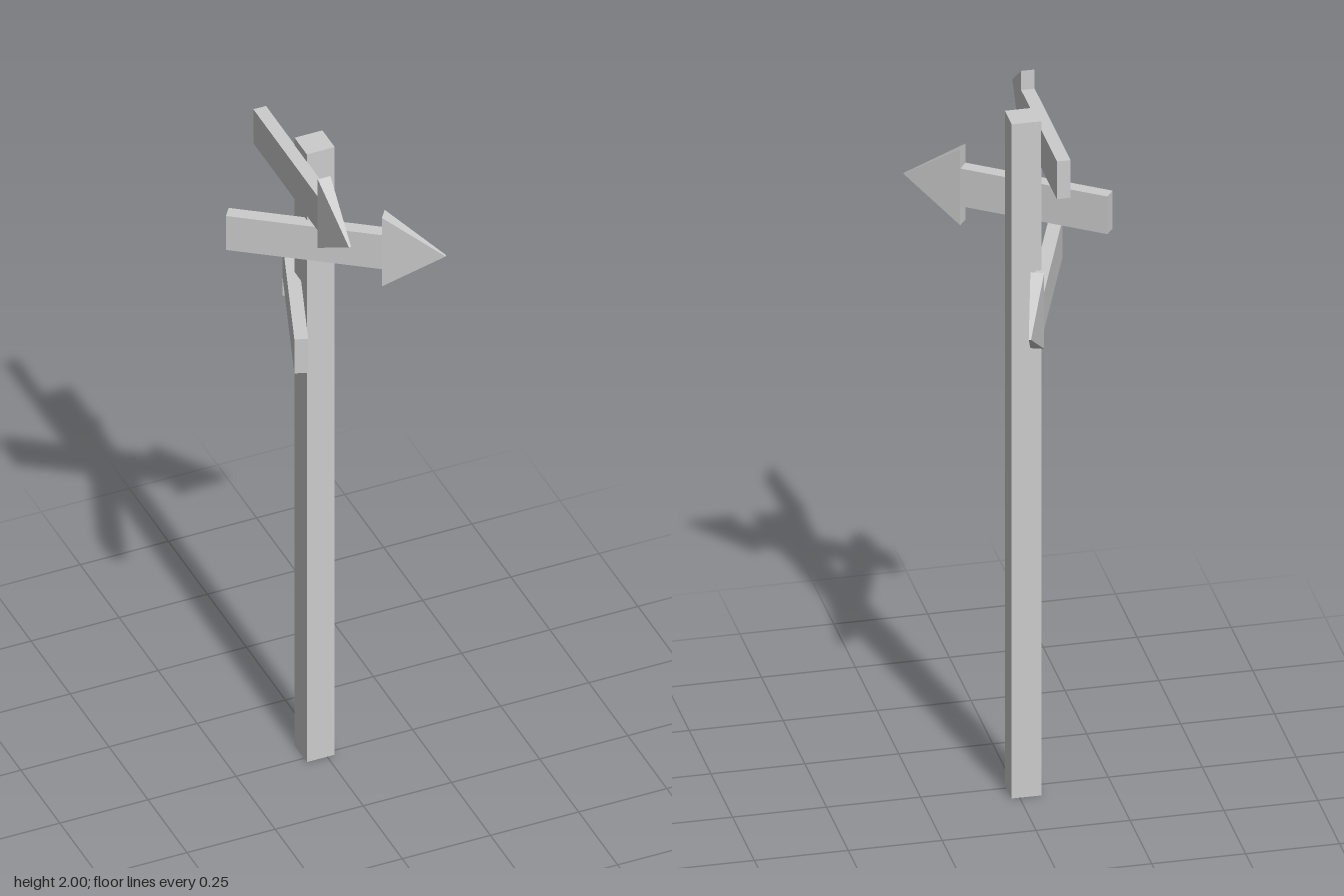
import * as THREE from 'three';

const material = new THREE.MeshStandardMaterial({ color: 0xcccccc, flatShading: true });

const THICK = 0.036, TIP_THICK = 0.006;
const SHAFT = 0.413, HEAD = 0.166;

// Triangular arrowhead along +x, thinning towards its tip
function headGeometry() {
  const shape = new THREE.Shape();
  shape.moveTo(0, -0.111);
  shape.lineTo(HEAD, 0);
  shape.lineTo(0, 0.111);
  shape.closePath();
  const geometry = new THREE.ExtrudeGeometry(shape, { depth: THICK, bevelEnabled: false });
  geometry.translate(0, 0, -THICK / 2);
  const p = geometry.attributes.position;
  for (let i = 0; i < p.count; i++) {
    const t = p.getX(i) / HEAD;
    p.setZ(i, p.getZ(i) * THREE.MathUtils.lerp(1, TIP_THICK / THICK, t));
  }
  geometry.computeVertexNormals();
  return geometry;
}

// Arrow-shaped board running from its tail centre towards its tip (both as [x, z])
function arrowSign(name, y, tail, tip) {
  const sign = new THREE.Group();
  sign.name = name;

  const board = new THREE.Mesh(new THREE.BoxGeometry(SHAFT, 0.11, THICK), material);
  board.name = 'board';
  board.position.x = SHAFT / 2;

  const head = new THREE.Mesh(headGeometry(), material);
  head.name = 'arrowhead';
  head.position.x = SHAFT;

  sign.add(board, head);
  sign.position.set(tail[0], y, tail[1]);
  sign.rotation.y = Math.atan2(tail[1] - tip[1], tip[0] - tail[0]);
  return sign;
}

export function createModel() {
  const model = new THREE.Group();
  model.name = 'signpost';

  // Square post
  const post = new THREE.Mesh(new THREE.BoxGeometry(0.079, 1.97, 0.079), material);
  post.name = 'post';
  post.position.set(-0.018, 0.985, -0.0215);
  model.add(post);

  // Three direction signs, from top to bottom
  model.add(
    arrowSign('topSign', 1.891, [-0.0745, -0.246], [-0.0745, 0.333]),
    arrowSign('middleSign', 1.702, [-0.232, -0.098], [0.24, 0.238]),
    arrowSign('bottomSign', 1.48, [-0.159, 0.212], [0.036, -0.334])
  );
  return model;
}
